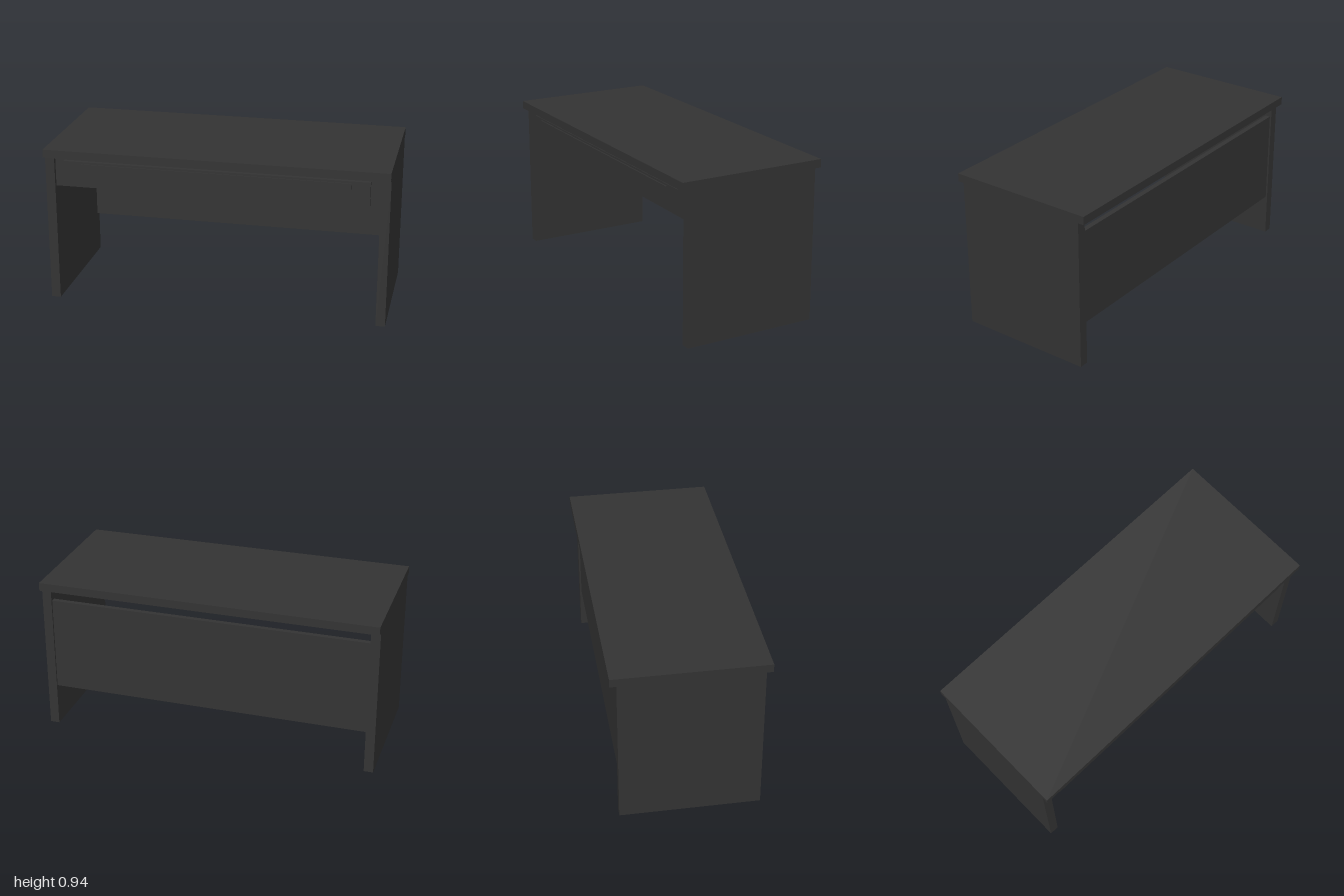
import * as THREE from 'three';

export function createModel() {
  const desk = new THREE.Group();
  desk.name = 'desk';
  const charcoal = new THREE.MeshStandardMaterial({ color: 0x333333 });
  charcoal.name = 'charcoal';

  // Box given by its lower and upper limits on each axis
  function board(name, [x0, x1], [y0, y1], [z0, z1]) {
    const mesh = new THREE.Mesh(new THREE.BoxGeometry(x1 - x0, y1 - y0, z1 - z0), charcoal);
    mesh.position.set((x0 + x1) / 2, (y0 + y1) / 2, (z0 + z1) / 2);
    mesh.name = name;
    desk.add(mesh);
  }

  // Overhanging top
  board('deskTop', [-1, 1], [0.89, 0.938], [-0.437, 0.437]);

  // Full-depth side panels
  board('leftSidePanel', [0.945, 1], [0, 0.89], [-0.4, 0.4]);
  board('rightSidePanel', [-1, -0.945], [0, 0.89], [-0.4, 0.4]);

  // Back panel, leaving a gap under the top
  board('backPanel', [-0.945, 0.945], [0.253, 0.813], [-0.39, -0.36]);

  // Front rail with drawer face and shallow pull
  board('frontRail', [-0.945, 0.945], [0.705, 0.89], [0.31, 0.38]);
  board('drawerFront', [-0.887, 0.887], [0.724, 0.867], [0.38, 0.404]);
  board('drawerPull', [-0.78, 0.78], [0.8, 0.855], [0.404, 0.411]);

  return desk;
}
